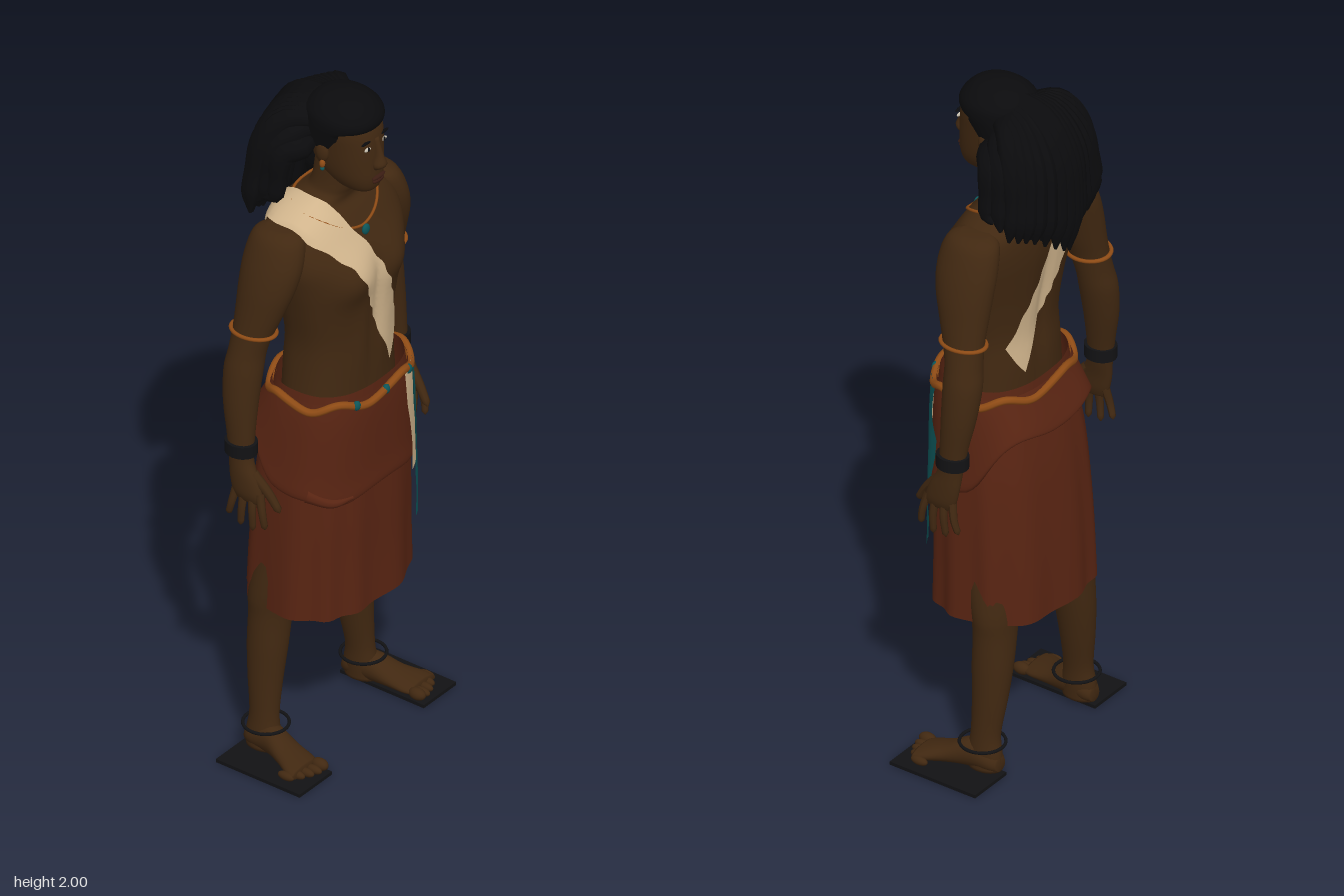
import * as THREE from 'three';

const mat = (name, color, side = THREE.FrontSide) =>
  Object.assign(new THREE.MeshStandardMaterial({ color, side }), { name });
const DS = THREE.DoubleSide;
const V = (x, y, z) => new THREE.Vector3(x, y, z);

// Catmull-Rom through rows of numbers
function sample(rows, t) {
  const f = t * (rows.length - 1), i = Math.min(Math.floor(f), rows.length - 2), k = f - i;
  const at = (n) => rows[Math.max(0, Math.min(rows.length - 1, n))];
  return rows[0].map((_, c) => {
    const [a, b, d, e] = [at(i - 1)[c], at(i)[c], at(i + 1)[c], at(i + 2)[c]];
    return b + 0.5 * k * (d - a + k * (2 * a - 5 * b + 4 * d - e + k * (3 * (b - d) + e - a)));
  });
}

// Point on a superellipse ring
function ringPoint([y, cx, cz, rx, rz], a, n) {
  const pw = (v) => Math.sign(v) * Math.abs(v) ** (2 / n);
  return V(cx + Math.max(rx, 0.001) * pw(Math.cos(a)), y, cz + Math.max(rz, 0.001) * pw(Math.sin(a)));
}

// Smooth body through sections [y, cx, cz, rx, rz]
function loft(secs, { n = 2, cols = 24, steps = 4, capped = true, warp } = {}) {
  const rows = secs[0][0] < secs.at(-1)[0] ? secs : [...secs].reverse();
  const count = (rows.length - 1) * steps + 1, pos = [], idx = [];
  for (let i = 0; i < count; i++) {
    const s = sample(rows, i / (count - 1));
    for (let j = 0; j < cols; j++) {
      const a = (j / cols) * Math.PI * 2, p = ringPoint(s, a, n);
      if (warp) warp(p, a);
      pos.push(p.x, p.y, p.z);
      if (i === count - 1) continue;
      const A = i * cols + j, B = i * cols + ((j + 1) % cols);
      idx.push(A, A + cols, B, B, A + cols, B + cols);
    }
  }
  if (capped) {
    const lo = count * cols, top = (count - 1) * cols;
    for (const r of [rows[0], rows.at(-1)]) pos.push(r[1], r[0], r[2]);
    for (let j = 0; j < cols; j++) {
      const k = (j + 1) % cols;
      idx.push(lo, j, k, lo + 1, top + k, top + j);
    }
  }
  return finish(pos, idx);
}

function finish(pos, idx) {
  const g = new THREE.BufferGeometry();
  g.setAttribute('position', new THREE.Float32BufferAttribute(pos, 3));
  g.setIndex(idx);
  g.computeVertexNormals();
  return g;
}

// Open sheet from a function of u (across) and v (along)
function sheet(nu, nv, fn) {
  const pos = [], idx = [];
  for (let j = 0; j <= nv; j++) for (let i = 0; i <= nu; i++) {
    pos.push(...fn(i / nu, j / nv).toArray());
    if (i < nu && j < nv) {
      const a = j * (nu + 1) + i, b = a + nu + 1;
      idx.push(a, b, a + 1, a + 1, b, b + 1);
    }
  }
  return finish(pos, idx);
}

// Tube whose radius follows a rule
function taper(points, radius, segs = 18, sides = 8) {
  const curve = new THREE.CatmullRomCurve3(points);
  const g = new THREE.TubeGeometry(curve, segs, 1, sides), p = g.attributes.position, v = V(0, 0, 0);
  for (let i = 0; i < p.count; i++) {
    const t = Math.floor(i / (sides + 1)) / segs, c = curve.getPointAt(t);
    v.fromBufferAttribute(p, i).sub(c).multiplyScalar(radius(t)).add(c);
    p.setXYZ(i, v.x, v.y, v.z);
  }
  g.computeVertexNormals();
  return g;
}

// Point on a surface met by a ray, lifted back along it
function hit(targets, origin, dir, lift) {
  const h = new THREE.Raycaster(origin, dir).intersectObjects(targets)[0];
  return h ? h.point.addScaledVector(dir, -lift) : V(origin.x, origin.y, 0.06);
}

export function createModel() {
  const group = new THREE.Group();
  const skin = mat('skin', 0x412811), hair = mat('hair', 0x0b0b0d), cream = mat('creamCloth', 0xd0b48c, DS);
  const rust = mat('rustCloth', 0x582412, DS), teal = mat('teal', 0x0d5559, DS), orange = mat('orangeCord', 0x8e4b15);
  const black = mat('blackLeather', 0x121214), white = mat('eyeWhite', 0xc8c0b0), lip = mat('lip', 0x3a1c12);
  const add = (name, geo, m) => {
    const o = new THREE.Mesh(geo, m);
    o.name = name;
    group.add(o);
    return o;
  };
  const ball = (name, m, p, sx, sy, sz) =>
    add(name, new THREE.SphereGeometry(1, 16, 10).scale(sx, sy, sz).translate(p.x, p.y, p.z), m);
  const gauss = (d, w) => Math.exp(-((d / w) ** 2));

  // Torso and neck, with chest, midline and spine modelling
  const torso = add('torso', loft([
    [1.05, 0, 0.04, 0.18, 0.115], [1.18, 0, 0.04, 0.168, 0.115], [1.28, 0, 0.043, 0.166, 0.112],
    [1.38, 0, 0.042, 0.185, 0.12], [1.46, 0, 0.036, 0.205, 0.126], [1.53, 0, 0.028, 0.222, 0.128],
    [1.59, 0, 0.012, 0.222, 0.115], [1.635, 0, 0, 0.195, 0.1], [1.665, 0, 0, 0.135, 0.08],
    [1.69, 0, 0.018, 0.078, 0.065], [1.72, 0, 0.033, 0.062, 0.06], [1.8, 0, 0.045, 0.058, 0.06]],
  { n: 2.35, cols: 56, steps: 5, warp: (p, a) => {
    const f = Math.sin(a);
    if (f > 0) p.z += f * (0.03 * gauss(Math.abs(p.x) - 0.09, 0.07) * gauss(p.y - 1.47, 0.06)
      - 0.008 * gauss(p.x, 0.015) * gauss(p.y - 1.35, 0.17)
      + 0.006 * gauss(Math.abs(p.x) - 0.045, 0.03) * gauss(p.y - 1.26, 0.09));
    else p.z -= f * 0.014 * gauss(p.x, 0.025) * gauss(p.y - 1.35, 0.2);
  } }), skin);

  // Head and face
  const head = add('head', loft([
    [1.715, 0, 0.11, 0.02, 0.03], [1.73, 0, 0.105, 0.043, 0.058], [1.76, 0, 0.09, 0.062, 0.082],
    [1.8, 0, 0.075, 0.073, 0.098], [1.86, 0, 0.066, 0.08, 0.105], [1.91, 0, 0.06, 0.084, 0.104],
    [1.95, 0, 0.058, 0.074, 0.088], [1.98, 0, 0.058, 0.04, 0.045]], { n: 2.2, cols: 32 }), skin);
  add('nose', loft([[1.797, 0, 0.172, 0.016, 0.008], [1.812, 0, 0.176, 0.021, 0.021],
    [1.84, 0, 0.173, 0.011, 0.015], [1.89, 0, 0.162, 0.009, 0.01]], { cols: 12 }), skin);
  const onFace = (x, y) => hit([head], V(x, y, 1), V(0, 0, -1), 0);
  ball('upperLip', lip, onFace(0, 1.772), 0.027, 0.006, 0.008);
  ball('lowerLip', lip, onFace(0, 1.761), 0.023, 0.007, 0.008);
  for (const s of [1, -1]) {
    ball('eyeWhite', white, onFace(s * 0.033, 1.867), 0.014, 0.006, 0.004);
    ball('iris', hair, onFace(s * 0.033, 1.867), 0.006, 0.006, 0.006);
    ball('brow', hair, onFace(s * 0.035, 1.887), 0.022, 0.004, 0.005);
    ball('ear', skin, V(s * 0.08, 1.84, 0.05), 0.012, 0.03, 0.02);
    ball('earring', orange, V(s * 0.087, 1.808, 0.055), 0.008, 0.012, 0.008);
    ball('earringBead', teal, V(s * 0.087, 1.793, 0.055), 0.006, 0.006, 0.006);
  }

  // Hair cap, cut back below the hairline
  add('hairCap', loft([
    [1.855, 0, 0.035, 0.087, 0.08], [1.89, 0, 0.045, 0.093, 0.098], [1.925, 0, 0.06, 0.098, 0.107],
    [1.955, 0, 0.06, 0.092, 0.1], [1.985, 0, 0.06, 0.06, 0.068], [1.998, 0, 0.06, 0.02, 0.02]],
  { n: 2.1, cols: 36, warp: (p) => { if (p.y < 1.912) p.z = Math.min(p.z, 0.1); } }), hair);

  // Fan of long locks falling behind
  for (const [count, inner] of [[15, 0], [12, 1], [8, 2]]) for (let i = 0; i < count; i++) {
    const t = (i / (count - 1)) * 2 - 1, q = Math.abs(t), d = inner * 0.03, w = Math.sin(i * 5.3 + inner) * 0.012;
    add('hairLock', taper([V(t * 0.075, 1.96 - 0.04 * q - d, 0.0), V(t * 0.115, 1.935 - 0.02 * q - d, -0.085 + 0.035 * q + d),
      V(t * 0.152 + w / 2, 1.84, -0.145 + 0.06 * q * q + d), V(t * 0.178 + w, 1.71, -0.168 + 0.065 * q * q + d),
      V(t * 0.19 + w, 1.555 + 0.1 * q + w + d * 0.6, -0.16 + 0.06 * q * q + d * 0.5)],
    (k) => 0.024 * (0.6 + 0.8 * Math.sin(Math.PI * Math.min(k + 0.15, 0.8))) * (k > 0.85 ? 1.03 - (k - 0.85) * 5.8 : 1)), hair);
  }

  // Arms, hands, legs and feet
  const arms = [];
  for (const s of [1, -1]) {
    const side = (rows) => rows.map(([y, x, ...r]) => [y, x * s, ...r]);
    arms.push(add('arm', loft(side([
      [1.645, 0.19, 0, 0.03, 0.04], [1.625, 0.2, 0, 0.055, 0.075], [1.56, 0.223, 0, 0.062, 0.088],
      [1.49, 0.243, -0.005, 0.061, 0.083], [1.42, 0.26, -0.015, 0.055, 0.07], [1.36, 0.275, -0.025, 0.049, 0.059],
      [1.3, 0.288, -0.035, 0.049, 0.052], [1.24, 0.3, -0.04, 0.05, 0.054], [1.15, 0.314, -0.038, 0.044, 0.049],
      [1.06, 0.324, -0.03, 0.034, 0.04], [0.99, 0.33, -0.024, 0.027, 0.036], [0.94, 0.336, -0.01, 0.023, 0.045],
      [0.895, 0.338, 0.002, 0.02, 0.048], [0.87, 0.338, 0.008, 0.012, 0.042]])), skin));
    for (let i = 0; i < 4; i++) {
      const z = -0.033 + i * 0.025, end = [0.805, 0.785, 0.782, 0.8][i];
      add('finger', taper([V(s * 0.337, 0.9, z), V(s * 0.345, 0.845, z * 1.35), V(s * 0.342, end, z * 1.6 - 0.004)],
        (k) => (k > 0.96 ? 0.002 : 0.0125 - 0.004 * k), 12), skin);
    }
    add('thumb', taper([V(s * 0.332, 0.95, 0.015), V(s * 0.322, 0.9, 0.06), V(s * 0.316, 0.85, 0.092)],
      (k) => (k > 0.96 ? 0.002 : 0.016 - 0.006 * k), 12), skin);
    add('armband', new THREE.TorusGeometry(0.056, 0.0055, 8, 32).rotateX(Math.PI / 2).scale(0.95, 1, 1.13)
      .rotateZ(s * 0.08).translate(s * 0.276, 1.357, -0.025), orange);
    add('wristband', new THREE.CylinderGeometry(0.04, 0.04, 0.036, 20).scale(1, 1, 1.15)
      .translate(s * 0.327, 1.02, -0.027), black);
    add('leg', loft(side([
      [0.95, 0.1, 0.03, 0.085, 0.1], [0.7, 0.13, 0, 0.082, 0.09], [0.5, 0.163, -0.043, 0.073, 0.064],
      [0.42, 0.17, -0.05, 0.064, 0.057], [0.32, 0.182, -0.051, 0.054, 0.056], [0.22, 0.193, -0.05, 0.044, 0.049],
      [0.12, 0.204, -0.045, 0.035, 0.042], [0.06, 0.208, -0.045, 0.036, 0.05], [0.015, 0.21, -0.045, 0.034, 0.05]])), skin);
    // Sections run from heel to toe before being turned flat
    add('foot', loft(side([[-0.095, 0.208, -0.035, 0.02, 0.02], [-0.07, 0.21, -0.045, 0.035, 0.033],
      [-0.01, 0.216, -0.052, 0.038, 0.042], [0.05, 0.23, -0.038, 0.045, 0.028], [0.1, 0.245, -0.029, 0.055, 0.02],
      [0.125, 0.25, -0.026, 0.052, 0.015]])).rotateX(Math.PI / 2), skin);
    for (let i = 0; i < 5; i++) {
      const r = i ? 0.012 : 0.017;
      ball('toe', skin, V(s * (0.208 + i * 0.023), 0.01 + r, 0.14 - i * i * 0.0025), r, r, 0.026);
    }
    add('sole', new THREE.BoxGeometry(0.138, 0.01, 0.275).translate(s * 0.265, 0.005, 0.033), black);
    add('anklet', new THREE.TorusGeometry(0.061, 0.0045, 8, 32).rotateX(Math.PI / 2)
      .translate(s * 0.208, 0.088, -0.037), black);
  }

  // Wrapped skirt with soft pleats, and the folded upper layer
  const skirtRows = [[0.46, 0, 0.01, 0.234, 0.176], [0.6, 0, 0.012, 0.232, 0.172], [0.75, 0, 0.018, 0.228, 0.167],
    [0.9, 0, 0.026, 0.22, 0.158], [1.05, 0, 0.042, 0.203, 0.145], [1.145, 0, 0.046, 0.186, 0.137]];
  const pleat = (p, a) => {
    const k = (1.1 - p.y) * 0.009 * Math.sin(a * 11 + Math.sin(a * 3));
    p.x += Math.cos(a) * k;
    p.z += Math.sin(a) * k;
  };
  const skirt = add('skirt', loft(skirtRows, { n: 2.5, cols: 88, capped: false, warp: pleat }), rust);
  add('skirtFold', loft([[0.82, 0, 0.024, 0.222, 0.164], [0.835, 0, 0.024, 0.235, 0.172], [0.9, 0, 0.027, 0.228, 0.166],
    [1.05, 0, 0.042, 0.21, 0.152], [1.125, 0, 0.046, 0.194, 0.143]], { n: 2.5, cols: 72, capped: false, warp: (p, a) => {
    const k = 0.68 + 0.32 * Math.tanh(3 * Math.sin(a) + 1) - 0.03 * Math.sin(a * 5);
    p.y = 1.125 - (1.125 - p.y) * k;
  } }), rust);
  add('foldKnot', taper([V(-0.215, 0.855, 0.1), V(-0.175, 0.83, 0.155), V(-0.12, 0.832, 0.18)], (k) => 0.02 - 0.014 * k), rust);

  // Rope belt with beads
  const belt = [];
  for (let i = 0; i < 48; i++) {
    const a = (i / 48) * Math.PI * 2;
    belt.push(ringPoint([1.115 + 0.012 * Math.sin(a * 6), 0, 0.046, 0.203, 0.15], a, 2.5));
  }
  add('belt', new THREE.TubeGeometry(new THREE.CatmullRomCurve3(belt, true), 120, 0.011, 8, true), orange);
  for (const x of [-0.11, 0, 0.11]) ball('beltBead', teal, V(x, 1.115, 0.198 - x * x), 0.012, 0.014, 0.01);

  // Cloth strips hanging from the belt: rows of [left x, right x, y]
  const strip = (name, rows, lift, m) => add(name, sheet(4, 28, (u, v) => {
    const [l, r, y] = sample(rows, v);
    return hit([skirt], V(l + (r - l) * u, y, 1), V(0, 0, -1), lift);
  }), m);
  strip('creamStrip', [[0.085, 0.145, 1.12], [0.095, 0.145, 1.02], [0.12, 0.165, 0.94], [0.14, 0.2, 0.86], [0.14, 0.185, 0.78]], 0.017, cream);
  strip('tealStrip', [[0.13, 0.178, 1.115], [0.14, 0.188, 1.02], [0.165, 0.208, 0.94], [0.172, 0.208, 0.87],
    [0.155, 0.195, 0.78], [0.165, 0.205, 0.7], [0.163, 0.198, 0.62]], 0.022, teal);

  // Sash over the right shoulder, running down chest and back
  const along = V(0.41, -0.912, 0), across = V(0.912, 0.41, 0), centre = V(0, 1.42, 0.04);
  add('sash', sheet(10, 80, (u, v) => {
    const th = 0.39 + v * (Math.PI * 2 - 0.81), wide = gauss(th - Math.PI, 0.5);
    const l = -0.043 - 0.045 * wide + 0.003 * Math.sin(v * 90), r = 0.043 - 0.008 * wide + 0.003 * Math.sin(v * 70);
    const out = along.clone().multiplyScalar(Math.cos(th)).add(V(0, 0, Math.sin(th)));
    const from = centre.clone().addScaledVector(across, l + (r - l) * u).addScaledVector(out, 0.7);
    return hit([torso, ...arms], from, out.negate(), 0.008);
  }), cream);

  // Necklace resting on the shoulders, with pendant
  const cord = [];
  for (let i = 0; i < 32; i++) {
    const a = (i / 32) * Math.PI * 2;
    cord.push(hit([torso], V(0.135 * Math.cos(a), 3, 0.028 + 0.095 * Math.sin(a)), V(0, -1, 0), 0.004));
  }
  add('necklace', new THREE.TubeGeometry(new THREE.CatmullRomCurve3(cord, true), 96, 0.004, 6, true), orange);
  ball('pendant', teal, hit([torso], V(0, 1.588, 1), V(0, 0, -1), 0.004), 0.014, 0.016, 0.008);

  return group;
}
